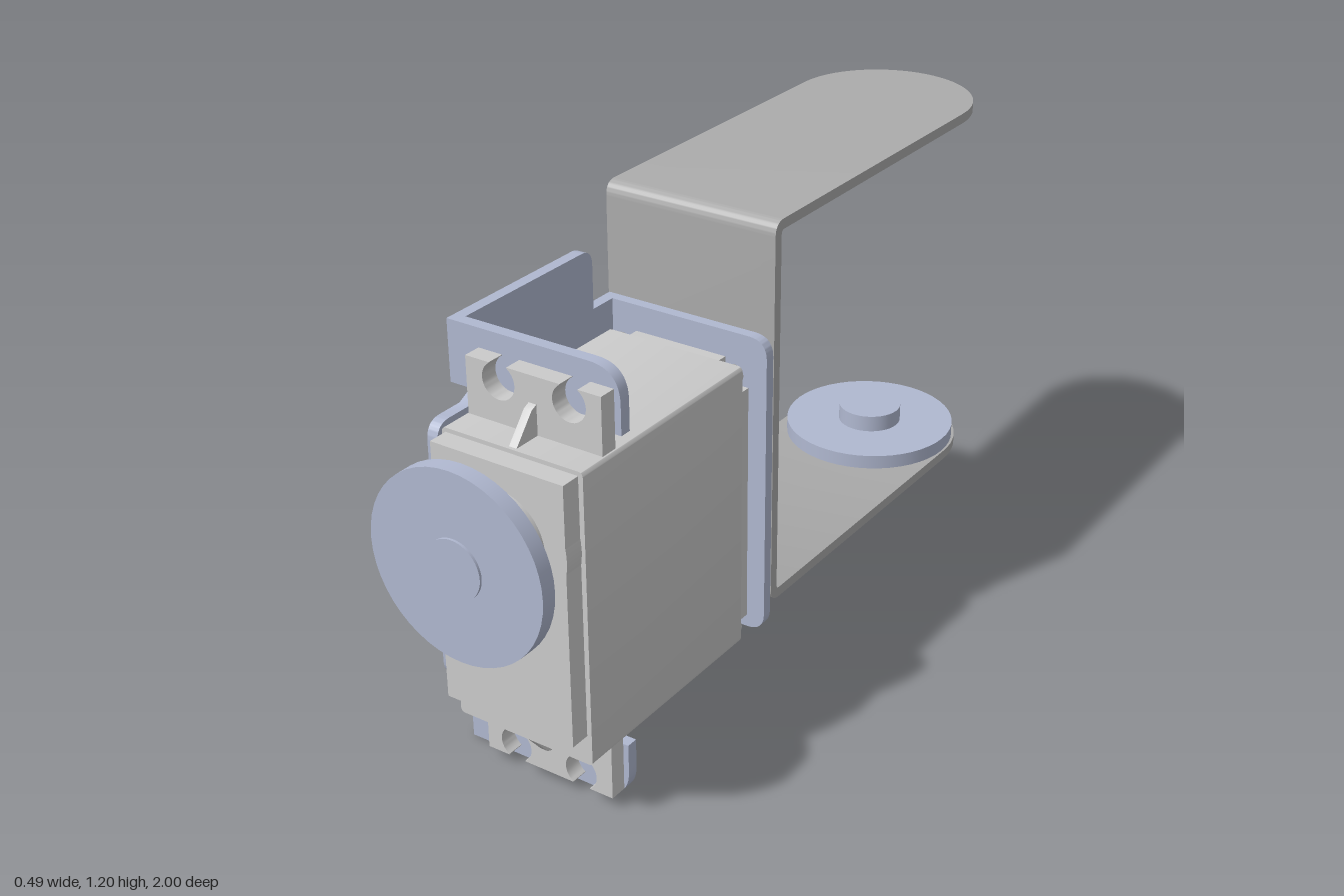
import * as THREE from 'three';
import { toCreasedNormals } from 'three/addons/utils/BufferGeometryUtils.js';

const mat = (name, color) => new THREE.MeshStandardMaterial({ name, color });

// Closed outline of [x, y, cornerRadius] points
function outline(points) {
  const s = new THREE.Shape();
  const n = points.length;
  points.forEach(([x, y, r = 0], i) => {
    const toward = ([px, py]) => {
      const d = Math.hypot(px - x, py - y) || 1;
      return [x + (px - x) / d * r, y + (py - y) / d * r];
    };
    const a = toward(points[(i + n - 1) % n]);
    const b = toward(points[(i + 1) % n]);
    if (i === 0) s.moveTo(...a); else s.lineTo(...a);
    if (r > 0) s.quadraticCurveTo(x, y, ...b);
  });
  s.closePath();
  return s;
}

const rect = (x0, y0, x1, y1, r = 0) =>
  outline([[x0, y0, r], [x1, y0, r], [x1, y1, r], [x0, y1, r]]);

function extrude(shape, depth) {
  const g = new THREE.ExtrudeGeometry(shape, { depth, bevelEnabled: false, curveSegments: 16 });
  return toCreasedNormals(g, 0.6);
}

export function createModel() {
  const model = new THREE.Group();
  model.name = 'servoBracketAssembly';
  const blue = mat('blueMetal', 0xb0b8d0);
  const light = mat('servoGrey', 0xcbcbcb);
  const grey = mat('bracketGrey', 0xababab);

  const add = (name, geometry, material, parent = model) => {
    const m = new THREE.Mesh(geometry, material);
    m.name = name;
    parent.add(m);
    return m;
  };
  // Plate facing z, from z0 to z1
  const plateZ = (name, shape, z0, z1, material) =>
    add(name, extrude(shape, z1 - z0).translate(0, 0, z0), material);
  // Plate facing x: shape x runs along z
  const plateX = (name, shape, x0, x1, material) =>
    add(name, extrude(shape, x1 - x0).rotateY(-Math.PI / 2).translate(x1, 0, 0), material);
  // Disc along z
  const discZ = (name, x, y, r, z0, z1, material) =>
    add(name, new THREE.CylinderGeometry(r, r, z1 - z0, 48).rotateX(Math.PI / 2)
      .translate(x, y, (z0 + z1) / 2), material);
  // Disc along y
  const discY = (name, x, z, r, y0, y1, material) =>
    add(name, new THREE.CylinderGeometry(r, r, y1 - y0, 48).translate(x, (y0 + y1) / 2, z), material);

  // U-shaped swinging bracket: bent strip with rounded ends
  const cx = -0.015, endZ = -0.77, R = 0.23;
  plateX('swingBracket', outline([
    [endZ, 0.23], [0.1, 0.23, 0.035], [0.1, 1.205, 0.035], [endZ, 1.205],
    [endZ, 1.18], [0.075, 1.18, 0.012], [0.075, 0.255, 0.012], [endZ, 0.255],
  ]), cx - R, cx + R, grey);
  for (const [name, y] of [['lowerArmEnd', 0.2425], ['upperArmEnd', 1.1925]]) {
    add(name, new THREE.CylinderGeometry(R, R, 0.025, 32, 1, false, Math.PI / 2, Math.PI)
      .translate(cx, y, endZ), grey);
  }

  // Idler horn on the lower arm
  discY('idlerDisc', cx, -0.765, 0.225, 0.255, 0.292, blue);
  discY('idlerHub', cx, -0.765, 0.083, 0.292, 0.336, blue);

  // Servo mount: side plate with reliefs, back plate and front tabs
  const upper = [[0.2, 0.93], [0.2, 1.08, 0.04], [0.672, 1.08], [0.672, 0.93],
    [0.58, 0.93], [0.58, 0.905], [0.65, 0.87], [0.76, 0.87, 0.045]];
  const midY = 0.5435;
  const lower = upper.map(([z, y, r]) => [z, 2 * midY - y, r]).reverse();
  plateX('mountSide', outline([[0.105, 0.16], [0.105, 0.93], ...upper, ...lower]), -0.243, -0.215, blue);
  plateZ('mountBack', outline([
    [-0.243, 0.16], [0.213, 0.16, 0.05], [0.213, 0.93, 0.05], [-0.243, 0.93],
  ]), 0.1, 0.127, blue);
  plateZ('mountUpperTab', outline([
    [-0.243, 0.93], [0.21, 0.93], [0.21, 1.08, 0.08], [-0.243, 1.08],
  ]), 0.645, 0.674, blue);
  plateZ('mountLowerTab', outline([
    [-0.243, 0.006], [0.208, 0.006, 0.08], [0.208, 0.156], [-0.243, 0.156],
  ]), 0.645, 0.674, blue);

  // Servo case with notched rear corners
  const x0 = -0.163, x1 = 0.205, y0 = 0.178, y1 = 0.9, n = 0.062;
  plateZ('servoCase', rect(x0, y0, x1, y1, 0.012), 0.215, 0.8, light);
  plateZ('servoCaseRear', outline([
    [x0 + n, y0], [x1 - n, y0], [x1 - n, y0 + n, 0.03], [x1, y0 + n],
    [x1, y1 - n], [x1 - n, y1 - n, 0.03], [x1 - n, y1], [x0 + n, y1],
    [x0 + n, y1 - n, 0.03], [x0, y1 - n], [x0, y0 + n], [x0 + n, y0 + n, 0.03],
  ]), 0.19, 0.215, light);
  for (const x of [x0 + 0.031, x1 - 0.031]) {
    for (const y of [y0 + 0.031, y1 - 0.031]) {
      const screw = new THREE.LatheGeometry([[0, 0], [0.012, 0], [0.012, 0.01],
        [0.024, 0.01], [0.024, -0.005]].reverse().map(p => new THREE.Vector2(...p)), 20);
      screw.rotateX(-Math.PI / 2).translate(x, y, 0.21);
      const m = add('caseScrew', screw, light);
      m.material = light;
    }
  }

  // Front cover with a small arc at its lower edge
  const cover = new THREE.Shape();
  cover.moveTo(-0.153, 0.89);
  cover.lineTo(-0.153, 0.253);
  cover.lineTo(-0.065, 0.253);
  cover.quadraticCurveTo(0.02, 0.197, 0.105, 0.253);
  cover.lineTo(0.193, 0.253);
  cover.lineTo(0.193, 0.89);
  cover.closePath();
  plateZ('servoCover', cover, 0.8, 0.85, light);

  // Mounting ears with open screw holes, and stiffening ribs
  const ear = new THREE.Shape();
  const hr = 0.043, hy = 0.998, half = 0.023;
  const a0 = Math.acos(half / hr);
  ear.moveTo(-0.155, 0.89);
  ear.lineTo(0.197, 0.89);
  ear.lineTo(0.197, 1.036);
  for (const hx of [0.115, -0.069]) {
    ear.lineTo(hx + half, 1.036);
    ear.absarc(hx, hy, hr, a0, Math.PI - a0 - Math.PI * 2, true);
    ear.lineTo(hx - half, 1.036);
  }
  ear.lineTo(-0.155, 1.036);
  ear.closePath();
  plateZ('upperEar', ear, 0.678, 0.722, light);
  const low = extrude(ear, 0.044).rotateZ(Math.PI).translate(0.042, 1.0735, 0.678);
  add('lowerEar', low, light);
  const rib = [[0.715, 0.89], [0.8, 0.89], [0.738, 0.965], [0.715, 0.975]];
  plateX('upperRib', outline(rib), 0.01, 0.03, light);
  plateX('lowerRib', outline(rib.map(([z, y]) => [z, 1.0735 - y]).reverse()), 0.01, 0.03, light);

  // Output boss, shaft and drive horn
  const sx = 0.022, sy = 0.713;
  discZ('outputBoss', sx, sy, 0.174, 0.8, 0.85, light);
  discZ('outputCollar', sx, sy, 0.118, 0.85, 0.88, light);
  discZ('outputRing', sx, sy, 0.095, 0.88, 0.893, light);
  discZ('outputShaft', sx, sy, 0.035, 0.89, 0.915, light);
  discZ('hornHub', sx, sy, 0.085, 0.908, 0.956, blue);
  discZ('hornDisc', sx, sy, 0.225, 0.955, 0.994, blue);
  discZ('hornCap', sx, sy, 0.07, 0.99, 1.0, blue);

  return model;
}
